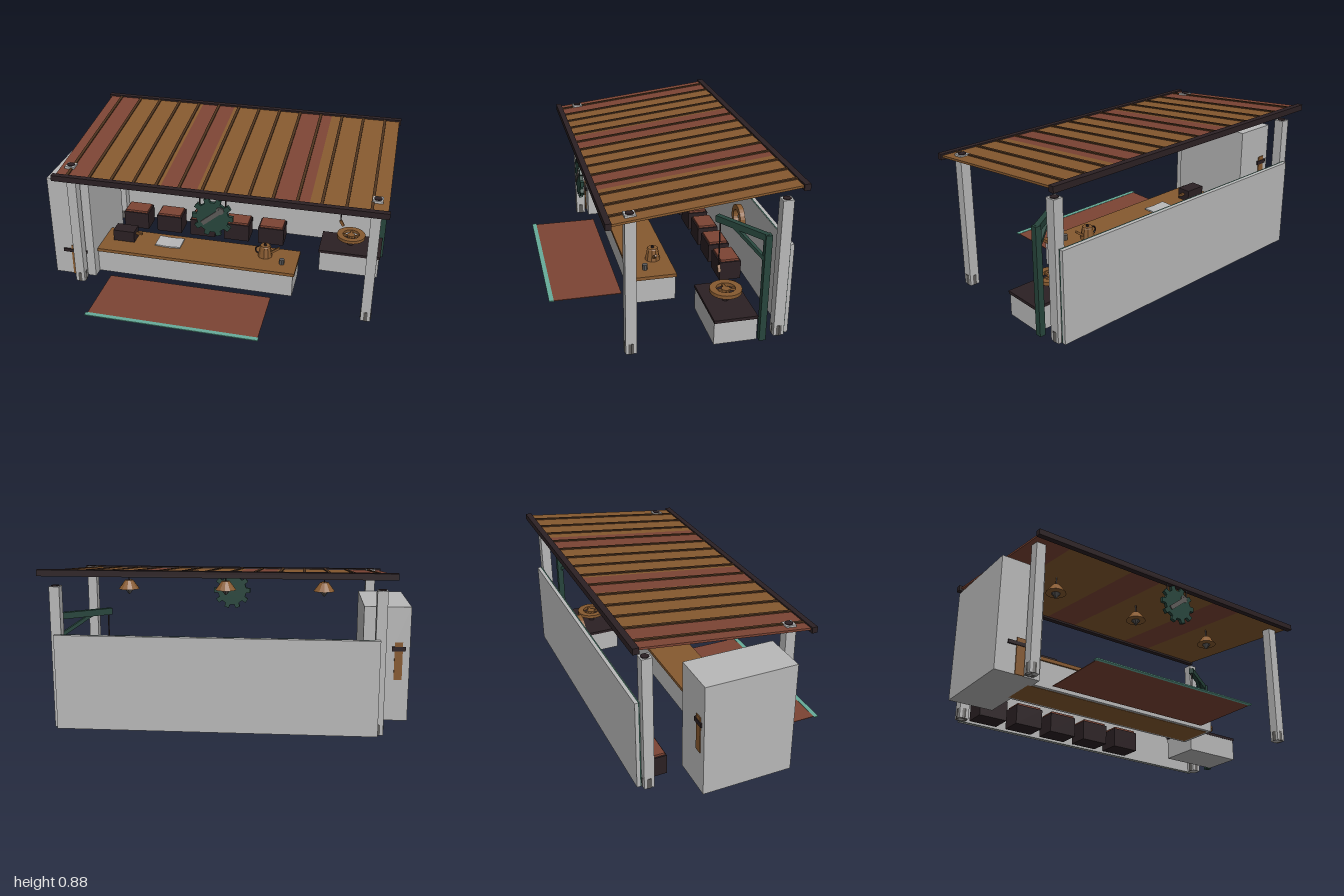
import * as THREE from 'three';

export function createModel() {
  const model = new THREE.Group();
  const mat = (name, color) => {
    const m = new THREE.MeshStandardMaterial({ color, flatShading: true, side: THREE.DoubleSide });
    m.name = name;
    return m;
  };
  const stone = mat('paleStone', 0xb8b8b8), wood = mat('wood', 0x86592f), rust = mat('rust', 0x7c4434);
  const dark = mat('darkTimber', 0x2b2023), green = mat('darkGreen', 0x27453c), teal = mat('teal', 0x66ac9a);
  const brown = mat('battenBrown', 0x4d331e), iron = mat('iron', 0x5c5a58);

  const add = (name, geo, m, x = 0, y = 0, z = 0, parent = model) => {
    const mesh = new THREE.Mesh(geo, m);
    mesh.name = name;
    mesh.position.set(x, y, z);
    parent.add(mesh);
    return mesh;
  };
  // box given by its limits on each axis
  const box = (name, m, x0, x1, y0, y1, z0, z1, parent) =>
    add(name, new THREE.BoxGeometry(x1 - x0, y1 - y0, z1 - z0), m, (x0 + x1) / 2, (y0 + y1) / 2, (z0 + z1) / 2, parent);
  // round part between two heights
  const round = (name, m, x, z, y0, y1, rBottom, rTop, sides = 12) =>
    add(name, new THREE.CylinderGeometry(rTop, rBottom, y1 - y0, sides), m, x, (y0 + y1) / 2, z);
  // square bar between two points
  const bar = (name, m, a, b, w, h = w) => {
    const A = new THREE.Vector3(...a), B = new THREE.Vector3(...b);
    const mesh = add(name, new THREE.BoxGeometry(w, h, A.distanceTo(B)), m);
    mesh.position.copy(A).add(B).multiplyScalar(0.5);
    mesh.lookAt(B);
    return mesh;
  };
  const ringShape = (outer, inner) => {
    const s = new THREE.Shape().absarc(0, 0, outer, 0, Math.PI * 2, false);
    s.holes.push(new THREE.Path().absarc(0, 0, inner, 0, Math.PI * 2, true));
    return s;
  };
  const extrude = (shape, depth) => new THREE.ExtrudeGeometry(shape, { depth, bevelEnabled: false, curveSegments: 12 });

  // sloping roof: coloured panels and raised battens
  const roof = new THREE.Group();
  roof.name = 'roof';
  roof.position.set(0.06, 0.8125, -0.11);
  roof.rotation.x = 0.1162;
  model.add(roof);
  const panelW = 1.86 / 9;
  for (let i = 0; i < 9; i++) {
    const x = -0.93 + i * panelW;
    box('roofPanel', i % 3 ? wood : rust, x, x + panelW, -0.006, 0.006, -0.495, 0.495, roof);
  }
  for (let i = 0; i < 14; i++) {
    const x = -0.86 + i * 0.131;
    box('roofBatten', brown, x - 0.008, x + 0.008, 0.006, 0.013, -0.495, 0.495, roof);
  }
  box('frontBeam', dark, -0.885, 1, 0.738, 0.772, 0.364, 0.396);
  box('backBeam', dark, -0.885, 1, 0.85, 0.884, -0.621, -0.587);

  // four posts with round iron shoes
  for (const x of [-0.813, 0.928]) for (const z of [0.265, -0.532]) {
    box('post', stone, x - 0.028, x + 0.028, 0, 0.785, z - 0.029, z + 0.029);
    round('postShoe', iron, x, z, 0, 0.06, 0.032, 0.032);
    round('postCap', dark, x, z, 0.78, 0.789, 0.022, 0.022);
  }

  // back wall with a green core, and the tall cabinet
  box('backWall', stone, -0.81, 0.935, 0, 0.525, -0.59, -0.571);
  box('wallCore', green, -0.81, 0.935, 0, 0.525, -0.571, -0.564);
  box('wallFace', stone, -0.81, 0.935, 0, 0.525, -0.564, -0.562);
  box('cabinet', stone, -1, -0.74, 0, 0.655, -0.3, 0.22);
  box('frontToolBoard', wood, -0.885, -0.835, 0, 0.205, 0.22, 0.226);
  box('frontToolBar', dark, -0.935, -0.785, 0.16, 0.18, 0.22, 0.23);
  box('backToolBoard', wood, -0.96, -0.915, 0.24, 0.455, -0.305, -0.3);
  box('backToolBar', dark, -0.975, -0.9, 0.405, 0.43, -0.309, -0.3);

  // long counter
  box('counterBody', stone, -0.77, 0.48, 0.002, 0.15, -0.09, 0.155);
  box('counterBase', wood, -0.76, 0.46, 0, 0.003, -0.07, 0.135);
  box('counterTop', wood, -0.78, 0.49, 0.148, 0.168, -0.095, 0.165);

  // things on the counter
  box('toolBox', dark, -0.675, -0.54, 0.168, 0.24, -0.042, 0.045);
  box('toolBoxHandle', wood, -0.54, -0.5, 0.203, 0.216, -0.007, 0.007);
  for (const s of [-1, 1]) {
    const page = box('bookPage', stone, -0.04, 0.04, -0.004, 0.004, -0.055, 0.055);
    page.position.set(-0.32 + s * 0.04, 0.174, 0);
    page.rotation.z = s * 0.06;
  }
  round('pot', wood, 0.285, 0, 0.168, 0.236, 0.045, 0.032, 10);
  round('potLid', wood, 0.285, 0, 0.234, 0.241, 0.034, 0.03, 10);
  round('potKnob', dark, 0.285, 0, 0.241, 0.252, 0.009, 0.007, 8);
  bar('potSpout', wood, [0.315, 0.19, 0], [0.372, 0.232, 0], 0.014);
  const potHandle = add('potHandle', new THREE.TorusGeometry(0.022, 0.005, 6, 10, Math.PI), dark, 0.247, 0.205, 0);
  potHandle.rotation.z = Math.PI / 2;
  round('cup', iron, 0.4, 0.07, 0.168, 0.2, 0.015, 0.016, 10);

  // row of crates behind the counter
  for (let i = 0; i < 5; i++) {
    const x = -0.68 + i * 0.2325;
    box('crate', dark, x - 0.085, x + 0.085, 0, 0.117, -0.53, -0.4);
    box('crateLid', rust, x - 0.076, x + 0.076, 0.117, 0.13, -0.52, -0.408);
  }

  // mat with coloured edge
  box('mat', rust, -0.65, 0.36, 0, 0.004, 0.2, 0.6);
  box('matEdge', teal, -0.66, 0.365, 0, 0.006, 0.593, 0.62);

  // small bench and turning wheel
  box('benchBody', stone, 0.6, 0.965, 0, 0.13, -0.405, -0.17);
  box('benchTop', dark, 0.592, 0.972, 0.13, 0.147, -0.405, -0.168);
  round('wheelPedestal', dark, 0.778, -0.288, 0.147, 0.205, 0.018, 0.018);
  const wheel = add('wheelRim', extrude(ringShape(0.088, 0.052), 0.02), wood, 0.778, 0.199, -0.288);
  wheel.rotation.x = -Math.PI / 2;
  round('wheelHub', wood, 0.778, -0.288, 0.199, 0.216, 0.024, 0.024);
  box('wheelSpoke', wood, 0.72, 0.836, 0.201, 0.213, -0.295, -0.281);
  box('wheelSpoke', wood, 0.771, 0.785, 0.201, 0.213, -0.346, -0.23);

  // crane with a slanting arm, brace, rope and hook
  box('cranePost', green, 0.95, 0.984, 0, 0.615, -0.449, -0.414);
  bar('craneArm', green, [0.97, 0.598, -0.435], [0.693, 0.598, -0.252], 0.03, 0.036);
  bar('craneBrace', green, [0.962, 0.475, -0.425], [0.79, 0.59, -0.313], 0.02);
  round('rope', dark, 0.708, -0.265, 0.31, 0.585, 0.004, 0.004, 6);
  bar('hook', wood, [0.706, 0.322, -0.265], [0.726, 0.287, -0.265], 0.016);

  // hanging gear sign
  const gear = new THREE.Shape();
  const teeth = 10;
  for (let i = 0; i < teeth; i++) {
    [[-0.27, 0.092], [-0.2, 0.117], [0.2, 0.117], [0.27, 0.092]].forEach(([o, r], k) => {
      const a = ((i + 0.5 + o) / teeth) * Math.PI * 2 + Math.PI / 2;
      gear[i + k ? 'lineTo' : 'moveTo'](r * Math.cos(a), r * Math.sin(a));
    });
  }
  add('gearSign', extrude(gear, 0.02), green, 0.052, 0.622, 0.371);
  const plate = box('gearBar', iron, -0.075, 0.075, -0.013, 0.013, -0.003, 0.003);
  plate.position.set(0.052, 0.63, 0.394);
  plate.rotation.z = 0.7;
  add('gearRing', extrude(ringShape(0.022, 0.012), 0.004), iron, 0.095, 0.67, 0.392);
  for (const s of [-1, 1]) round('signHanger', dark, 0.052 + s * 0.072, 0.38, 0.68, 0.75, 0.004, 0.004, 6);

  // three hanging lamps
  for (const x of [-0.525, 0.055, 0.635]) {
    round('lampRod', dark, x, -0.025, 0.74, 0.8, 0.004, 0.004, 6);
    round('lampShade', wood, x, -0.025, 0.692, 0.744, 0.062, 0.024, 12);
    round('lampBulb', iron, x, -0.025, 0.66, 0.69, 0.004, 0.027, 8);
  }

  // wooden ring on the back wall
  add('wallRing', extrude(ringShape(0.08, 0.05), 0.03), wood, 0.285, 0.38, -0.532);
  return model;
}
